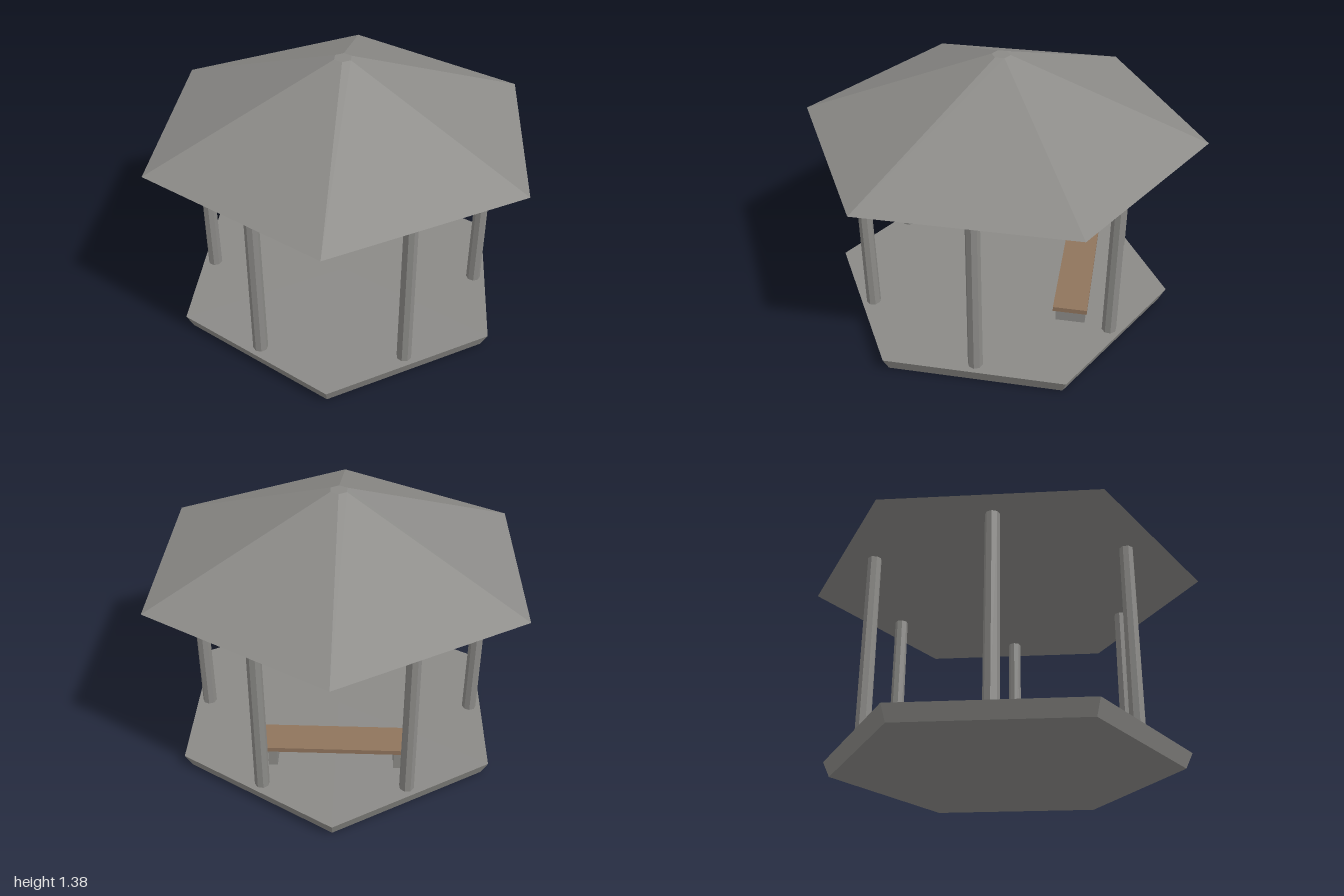
import * as THREE from 'three';

export function createModel() {
  const stone = new THREE.MeshStandardMaterial({ color: 0x8b8a87 });
  stone.name = 'stone grey';
  stone.flatShading = true;
  const wood = new THREE.MeshStandardMaterial({ color: 0x8f745c });
  wood.name = 'bench wood';
  wood.flatShading = true;

  const model = new THREE.Group();
  model.name = 'gazebo';

  function add(parent, name, geometry, material, x, y, z) {
    const mesh = new THREE.Mesh(geometry, material);
    mesh.name = name;
    mesh.position.set(x, y, z);
    parent.add(mesh);
    return mesh;
  }

  const floorY = 0.075, eavesY = 0.995, topY = 1.375;

  // Hexagonal floor with an undercut edge, and the roof with a small flat tip
  add(model, 'floor', new THREE.CylinderGeometry(0.89, 0.855, floorY, 6), stone, 0, floorY / 2, 0);
  add(model, 'roof', new THREE.CylinderGeometry(0.045, 1, topY - eavesY, 6), stone,
    0, (topY + eavesY) / 2, 0);

  // Six slightly tapered columns, one at the middle of each floor edge
  const columns = new THREE.Group();
  columns.name = 'columns';
  model.add(columns);
  const columnGeometry = new THREE.CylinderGeometry(0.034, 0.037, eavesY - floorY, 8);
  for (let i = 0; i < 6; i++) {
    const a = (i * Math.PI) / 3;
    const column = add(columns, 'column', columnGeometry, stone,
      0.71 * Math.cos(a), (eavesY + floorY) / 2, 0.71 * Math.sin(a));
    column.rotation.y = -a;
  }

  // Bench along the back edge
  const bench = new THREE.Group();
  bench.name = 'bench';
  bench.position.set(0, floorY, -0.415);
  model.add(bench);
  add(bench, 'seat', new THREE.BoxGeometry(0.77, 0.025, 0.17), wood, 0, 0.1125, 0);
  for (const side of [-1, 1]) {
    add(bench, 'benchLeg', new THREE.BoxGeometry(0.045, 0.1, 0.15), stone, side * 0.3125, 0.05, 0);
  }

  return model;
}
